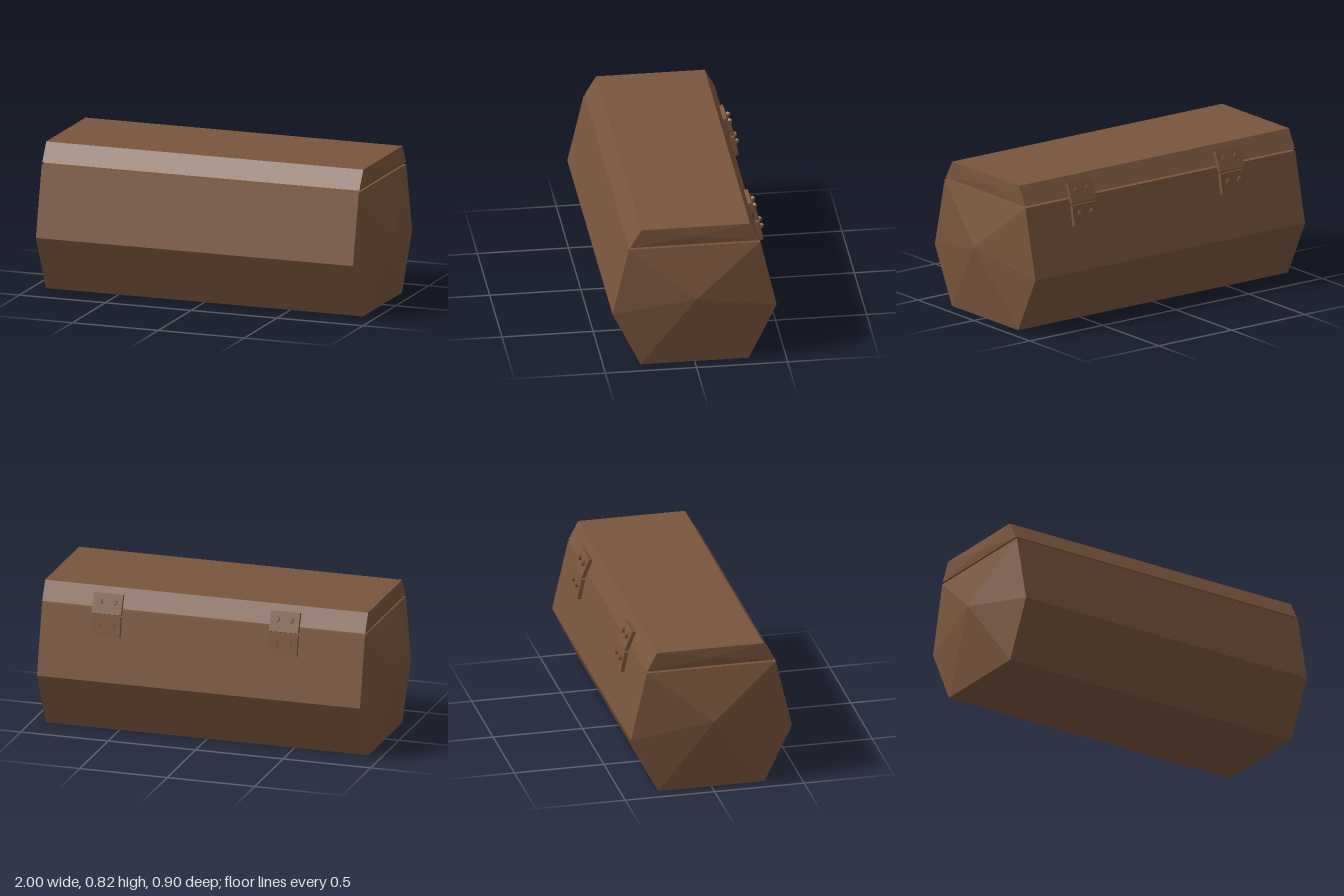
import * as THREE from 'three';

const wood = new THREE.MeshStandardMaterial({ color: 0x7a553c, flatShading: true });

// Hollow trough along x: section points are [z, y], counter-clockwise seen from +x, open from last to first.
function troughGeometry(outer, inner, halfLength, innerHalf, apexX, apexY) {
  const pos = [];
  const tri = (...pts) => pts.forEach((p) => pos.push(...p));
  const quad = (a, b, c, d) => tri(a, b, c, a, c, d);
  const place = (section, x) => section.map(([z, y]) => [x, y, z]);
  const oA = place(outer, -halfLength), oB = place(outer, halfLength);
  const iA = place(inner, -innerHalf), iB = place(inner, innerHalf);
  const n = outer.length, last = n - 1;

  // Long walls, outside and inside
  for (let i = 0; i < last; i++) {
    quad(oA[i], oA[i + 1], oB[i + 1], oB[i]);
    quad(iB[i], iB[i + 1], iA[i + 1], iA[i]);
  }
  // Pointed outer ends and flat inner ends
  for (let i = 0; i < n; i++) {
    const j = (i + 1) % n;
    tri([apexX, apexY, 0], oB[i], oB[j]);
    tri([-apexX, apexY, 0], oA[j], oA[i]);
    if (i > 0 && i < last) {
      tri(iB[0], iB[j], iB[i]);
      tri(iA[0], iA[i], iA[j]);
    }
  }
  // Rim
  quad(oA[0], oB[0], iB[0], iA[0]);
  quad(iA[last], iB[last], oB[last], oA[last]);
  quad(iB[0], oB[0], oB[last], iB[last]);
  quad(oA[0], iA[0], iA[last], oA[last]);

  const g = new THREE.BufferGeometry();
  g.setAttribute('position', new THREE.Float32BufferAttribute(pos, 3));
  g.computeVertexNormals();
  return g;
}

function addMesh(parent, name, geometry, x = 0, y = 0, z = 0) {
  const mesh = new THREE.Mesh(geometry, wood);
  mesh.name = name;
  mesh.position.set(x, y, z);
  parent.add(mesh);
  return mesh;
}

// One plate with two screws; its outer face looks along local -z
function hingeLeaf(name, y, z, tilt, screwY) {
  const leaf = new THREE.Group();
  leaf.name = name;
  leaf.position.set(0, y, z);
  leaf.rotation.x = tilt;
  addMesh(leaf, 'hingePlate', new THREE.BoxGeometry(0.167, 0.114, 0.021));
  for (const x of [-0.04, 0.04]) {
    const screw = addMesh(leaf, 'screw', new THREE.CylinderGeometry(0.016, 0.016, 0.018, 6), x, screwY, -0.015);
    screw.rotation.x = -Math.PI / 2;
    const tip = addMesh(leaf, 'screwTip', new THREE.CylinderGeometry(0.008, 0.008, 0.006, 6), x, screwY, -0.025);
    tip.rotation.x = -Math.PI / 2;
  }
  return leaf;
}

export function createModel() {
  const chest = new THREE.Group();
  chest.name = 'chest';

  // Six-sided body with an open top
  addMesh(chest, 'body', troughGeometry(
    [[0.361, 0.705], [0.45, 0.315], [0.297, 0], [-0.297, 0], [-0.45, 0.315], [-0.361, 0.705]],
    [[0.31, 0.705], [0.395, 0.32], [0.265, 0.05], [-0.265, 0.05], [-0.395, 0.32], [-0.31, 0.705]],
    0.923, 0.87, 1, 0.415));

  // Lid, open underneath
  addMesh(chest, 'lid', troughGeometry(
    [[-0.359, 0.715], [-0.304, 0.819], [0.292, 0.819], [0.354, 0.715]],
    [[-0.31, 0.715], [-0.28, 0.775], [0.27, 0.775], [0.305, 0.715]],
    0.923, 0.87, 0.928, 0.765));

  // Two hinges on the back
  for (const x of [-0.467, 0.545]) {
    const hinge = new THREE.Group();
    hinge.name = 'hinge';
    hinge.position.x = x;
    hinge.add(hingeLeaf('upperLeaf', 0.737, -0.364, 0.39, 0.012));
    hinge.add(hingeLeaf('lowerLeaf', 0.618, -0.397, 0.2, 0.008));
    chest.add(hinge);
  }
  return chest;
}
